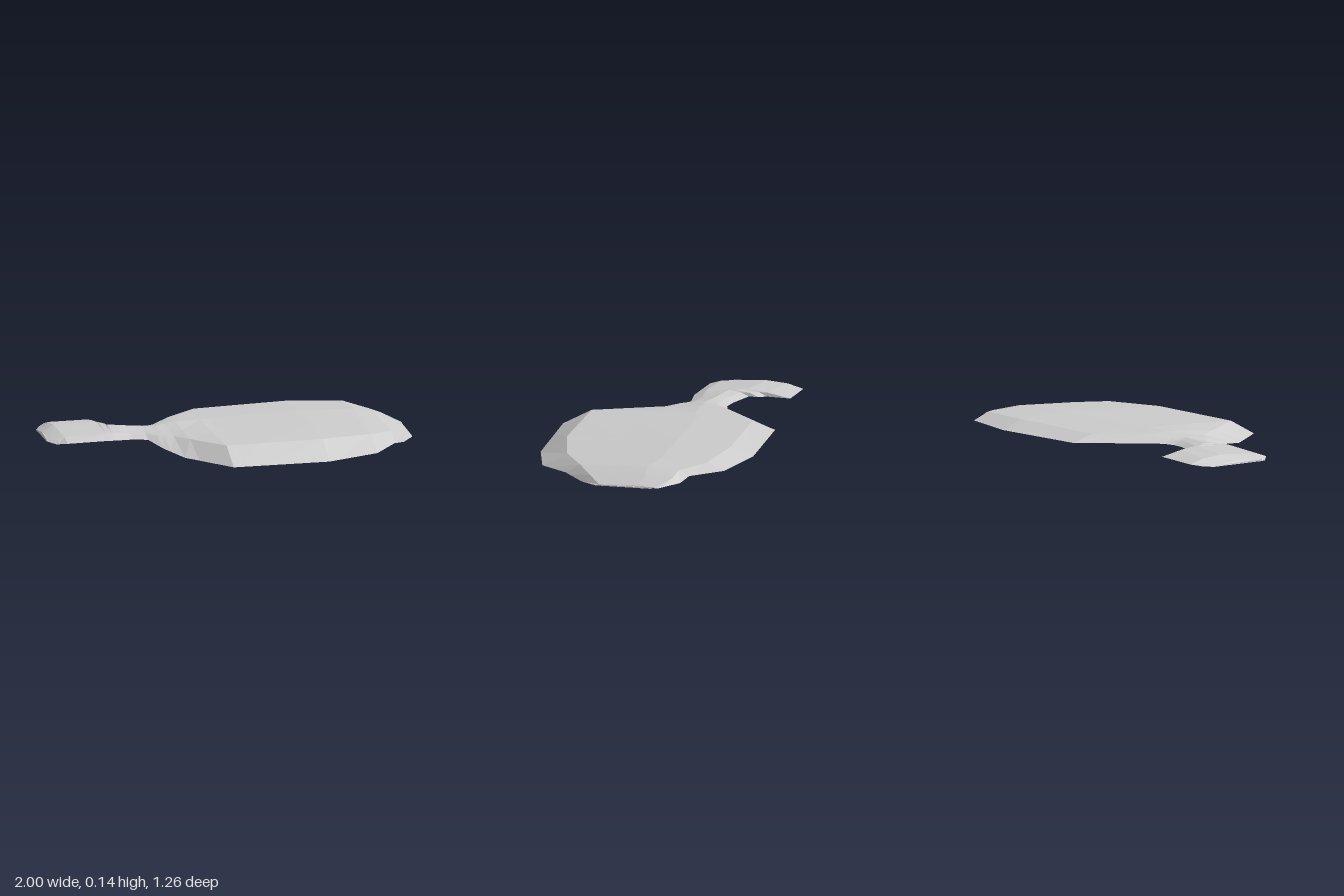
import * as THREE from 'three';

const { lerp } = THREE.MathUtils;

// Piecewise linear curve through [x, value] points
function curve(points) {
  return (x) => {
    const i = Math.min(Math.max(points.findIndex((p) => p[0] >= x), 1), points.length - 1);
    const [x0, v0] = points[i - 1], [x1, v1] = points[i];
    return lerp(v0, v1, (x - x0) / (x1 - x0));
  };
}

// Plan outline: hooked grip, narrow neck, broad blade
const backOutline = [
  [-1, -0.04], [-0.98, -0.35], [-0.95, -0.41], [-0.91, -0.455], [-0.682, -0.46], [-0.678, -0.33],
  [-0.65, -0.29], [-0.645, -0.24], [-0.52, -0.195], [-0.45, -0.185], [-0.39, -0.21], [-0.28, -0.34],
  [-0.09, -0.58], [0.05, -0.595], [0.43, -0.635], [0.735, -0.58], [0.845, -0.42], [0.91, -0.39], [1, -0.29],
];
const frontOutline = [
  [-1, -0.03], [-0.96, 0.02], [-0.91, 0.07], [-0.65, 0.07], [-0.55, 0.05], [-0.47, 0.07],
  [-0.42, 0.2], [-0.34, 0.36], [-0.14, 0.63], [0.4, 0.57], [0.69, 0.46], [0.83, 0.28], [0.98, 0.06], [1, -0.25],
];
const backZ = curve(backOutline);
const frontZ = curve(frontOutline);

// Width of the sloping rims
const backRim = curve([[-1, 0.002], [-0.95, 0.08], [-0.682, 0.13], [-0.678, 0.045], [-0.45, 0.045], [-0.09, 0.13], [0.43, 0.125], [0.735, 0.1], [0.845, 0.06], [1, 0.01]]);
const frontRim = curve([[-1, 0.002], [-0.91, 0.07], [-0.47, 0.06], [-0.34, 0.24], [-0.14, 0.16], [0.69, 0.14], [0.83, 0.08], [0.98, 0.02], [1, 0.01]]);

// Heights of the creases and of the open edges
const backCreaseY = curve([[-1, 0.066], [-0.91, 0.107], [-0.682, 0.115], [-0.42, 0.105], [-0.28, 0.125], [0.43, 0.138], [0.735, 0.13], [0.845, 0.106], [0.91, 0.083], [1, 0.041]]);
const frontCreaseY = curve([[-1, 0.066], [-0.86, 0.102], [-0.65, 0.1], [-0.42, 0.09], [0.4, 0.097], [0.69, 0.093], [0.83, 0.082], [0.98, 0.027], [1, 0.037]]);
const backEdgeY = curve([[-1, 0.065], [-0.91, 0.085], [-0.65, 0.095], [-0.45, 0.088], [-0.09, 0.095], [0.735, 0.094], [0.845, 0.08], [0.91, 0.056], [1, 0.04]]);
const frontEdgeY = curve([[-1, 0.065], [-0.96, 0.056], [-0.86, 0.075], [-0.47, 0.068], [-0.42, 0.042], [-0.34, 0.016], [-0.14, 0.003], [0.4, 0], [0.69, 0.014], [0.83, 0.03], [0.9, 0.012], [0.98, 0.02], [1, 0.036]]);

// One open section, from the back edge over the crown to the front edge
function section(x) {
  const back = backZ(x), front = frontZ(x);
  const backCrease = back + backRim(x), frontCrease = front - frontRim(x);
  const high = backCreaseY(x), low = frontCreaseY(x);
  const crown = (t, rise) => [x, lerp(high, low, t) + rise * high, lerp(backCrease, frontCrease, t)];
  return [
    [x, backEdgeY(x), back],
    crown(0, 0), crown(0.33, 0.12), crown(0.66, 0.06), crown(1, 0),
    [x, frontEdgeY(x), front],
  ];
}

// Thin shell joining the sections
function shell(rows) {
  const n = rows[0].length;
  const index = [];
  for (let i = 0; i < rows.length - 1; i++) {
    for (let j = 0; j < n - 1; j++) {
      const a = i * n + j;
      index.push(a, a + 1, a + n, a + 1, a + n + 1, a + n);
    }
  }
  const geometry = new THREE.BufferGeometry();
  geometry.setAttribute('position', new THREE.Float32BufferAttribute(rows.flat(2), 3));
  geometry.setIndex(index);
  const faceted = geometry.toNonIndexed();
  faceted.computeVertexNormals();
  return faceted;
}

export function createModel() {
  const grey = new THREE.MeshStandardMaterial({ color: 0xcccccc, flatShading: true, side: THREE.DoubleSide });
  grey.name = 'grey';

  // A section at every corner of the outline
  const stations = [...new Set([...backOutline, ...frontOutline].map((p) => p[0]))].sort((a, b) => a - b);
  const blade = new THREE.Mesh(shell(stations.map(section)), grey);
  blade.name = 'bladeAndGrip';

  const group = new THREE.Group();
  group.name = 'broadBlade';
  group.add(blade);
  return group;
}
